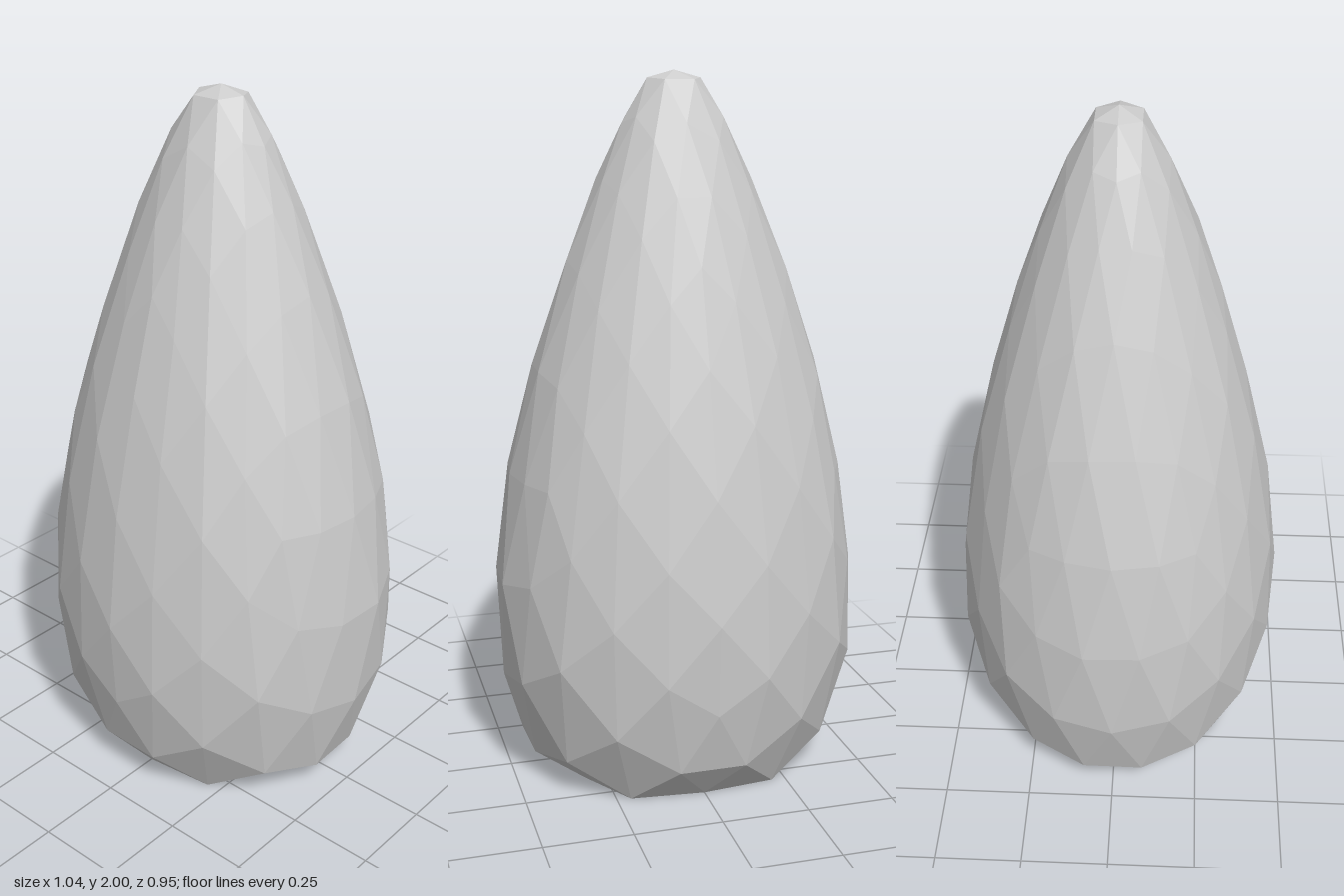
import * as THREE from 'three';

// Repeatable wobble in -1..1, the same for coincident corners
function wobble(x, y, z) {
  const key = Math.round(x * 100) * 12.9898 + Math.round(y * 100) * 78.233 + Math.round(z * 100) * 37.719;
  const s = Math.sin(key) * 43758.5453;
  return (s - Math.floor(s)) * 2 - 1;
}

export function createModel() {
  const model = new THREE.Group();
  const stone = new THREE.MeshStandardMaterial({ color: 0xcccccc, flatShading: true });
  stone.name = 'pale stone grey';

  // Faceted ball stretched upward, tapered to a blunt tip and cut flat at the ground
  const geometry = new THREE.IcosahedronGeometry(1, 3);
  const p = geometry.attributes.position;
  for (let i = 0; i < p.count; i++) {
    const x = p.getX(i), h = p.getY(i), z = p.getZ(i);
    const taper = 0.485 * (1 - 0.49 * h) * (1 + 0.01 * wobble(x, h, z));
    const y = THREE.MathUtils.clamp(0.89 + 1.14 * h, 0, 2);
    p.setXYZ(i, x * taper, y, z * taper * 0.895);
  }
  geometry.computeVertexNormals();

  const rock = new THREE.Mesh(geometry, stone);
  rock.name = 'taperedRock';
  model.add(rock);
  return model;
}
